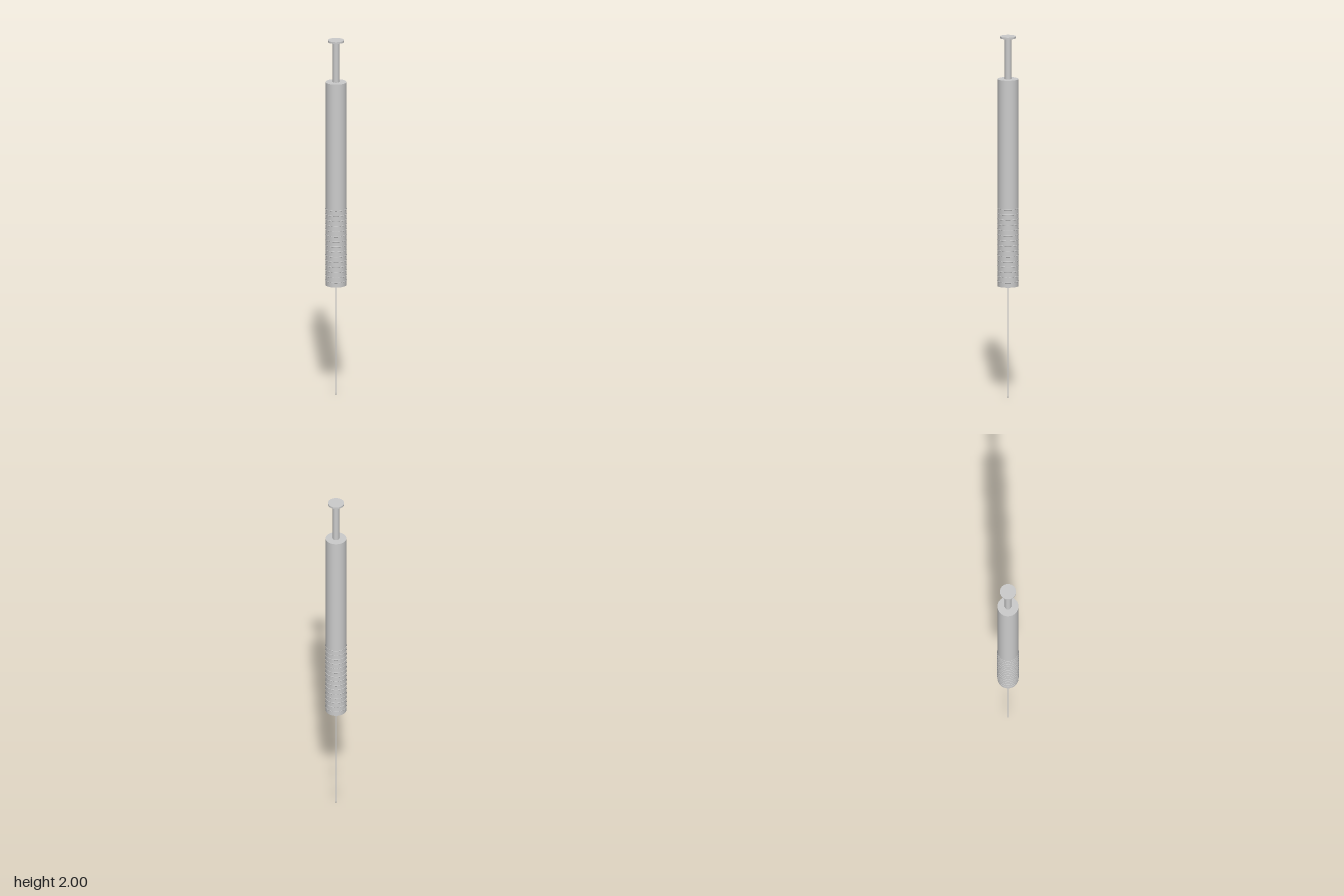
import * as THREE from 'three';

export function createModel() {
  const model = new THREE.Group();
  const material = new THREE.MeshStandardMaterial({ color: 0xcccccc });

  const add = (name, geometry, y) => {
    const mesh = new THREE.Mesh(geometry, material);
    mesh.name = name;
    mesh.position.y = y;
    model.add(mesh);
  };
  // Upright cylinder between two heights
  const rod = (name, radius, y0, y1, sides = 48, bottomRadius = radius) =>
    add(name, new THREE.CylinderGeometry(radius, bottomRadius, y1 - y0, sides), (y0 + y1) / 2);

  // Handle, plunger and its thumb plate
  rod('handle', 0.057, 0.625, 1.765);
  rod('plungerRod', 0.018, 1.76, 1.995, 32);
  rod('plungerCap', 0.044, 1.99, 2);

  // Thin needle with a pointed tip
  rod('needle', 0.004, 0.02, 0.63, 16);
  rod('needleTip', 0.004, 0, 0.02, 16, 0.0003);

  // Evenly spaced grip rings around the lower handle
  const ring = new THREE.TorusGeometry(0.0555, 0.003, 8, 48).rotateX(Math.PI / 2);
  for (let i = 0; i < 15; i++) add('gripRing', ring, 0.652 + i * 0.0287);

  return model;
}
